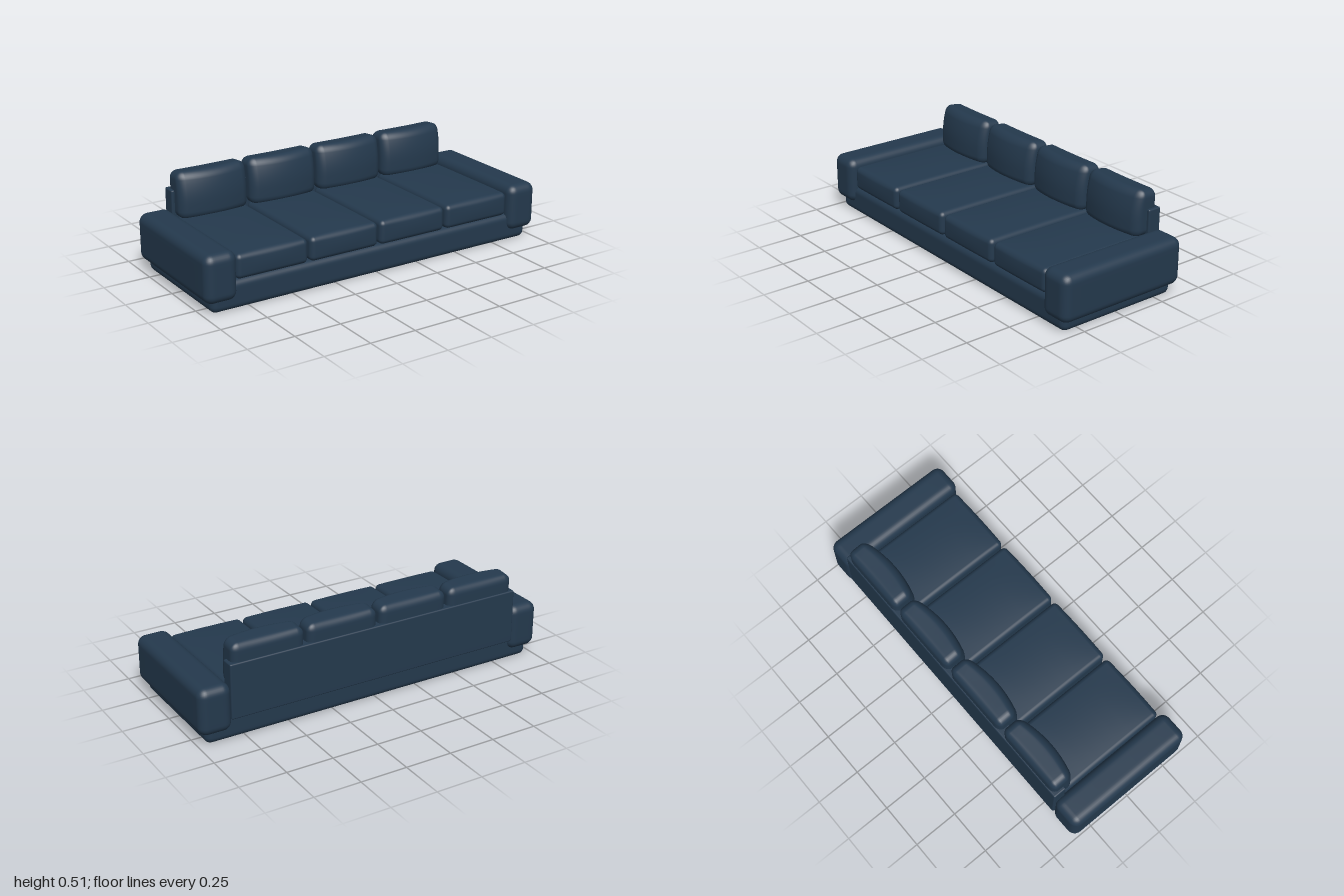
import * as THREE from 'three';
import { mergeVertices } from 'three/addons/utils/BufferGeometryUtils.js';

const fabric = new THREE.MeshStandardMaterial({ color: 0x24394d });
fabric.name = 'navy fabric';

const CORNER = 4, FLAT = 8, SEGS = CORNER * 2 + FLAT;

// Grid position along one axis: even angles round the corners, even steps between
function gridPos(i, half, r) {
  const core = half - r;
  if (i < CORNER) return -core - r * Math.tan((Math.PI / 4) * (1 - i / CORNER));
  if (i > SEGS - CORNER) return -gridPos(SEGS - i, half, r);
  return -core + (2 * core * (i - CORNER)) / FLAT;
}

// Rounded block with enough vertices to be puffed by an optional rule
function softBox(w, h, d, r, shape) {
  let geo = new THREE.BoxGeometry(1, 1, 1, SEGS, SEGS, SEGS);
  geo.deleteAttribute('uv');
  geo.deleteAttribute('normal');
  geo = mergeVertices(geo, 1e-4);
  const half = [w / 2, h / 2, d / 2];
  const pos = geo.attributes.position;
  const v = new THREE.Vector3(), core = new THREE.Vector3();
  for (let n = 0; n < pos.count; n++) {
    v.fromBufferAttribute(pos, n);
    half.forEach((s, a) => {
      const p = gridPos(Math.round((v.getComponent(a) + 0.5) * SEGS), s, r);
      v.setComponent(a, p);
      core.setComponent(a, THREE.MathUtils.clamp(p, r - s, s - r));
    });
    v.sub(core).setLength(r).add(core);
    if (shape) shape(v, v.x / half[0], v.y / half[1], v.z / half[2]);
    pos.setXYZ(n, v.x, v.y, v.z);
  }
  geo.computeVertexNormals();
  return geo;
}

export function createModel() {
  const sofa = new THREE.Group();
  sofa.name = 'sofa';
  const add = (name, geo, x, y, z) => {
    const mesh = new THREE.Mesh(geo, fabric);
    mesh.name = name;
    mesh.position.set(x, y, z);
    sofa.add(mesh);
  };

  // Plinth and back panel
  add('base', softBox(1.92, 0.152, 0.69, 0.035), 0, 0.076, 0);
  add('backPanel', softBox(1.67, 0.295, 0.075, 0.008), 0, 0.2675, -0.3355);

  // Armrests
  const arm = softBox(0.175, 0.252, 0.747, 0.046);
  add('leftArm', arm, 0.9125, 0.185, 0);
  add('rightArm', arm, -0.9125, 0.185, 0);

  // Seat cushion: crowned top, slightly bowed front
  const seat = softBox(0.4, 0.128, 0.645, 0.026, (v, x, y, z) => {
    const crown = (1 - x * x) * (1 - z ** 4);
    if (y > 0) v.y += 0.012 * y * crown;
    if (z > 0) v.z += 0.007 * z * (1 - x * x) * (1 - y * y);
  });

  // Back cushion: front bulges low and in the middle, top slopes to the rear
  const DEPTH = 0.164;
  const back = softBox(0.396, 0.25, DEPTH, 0.042, (v, x, y, z) => {
    const up = Math.max(0, y + 0.35) / 1.35;
    const depth = 1 - 0.2 * x * x - 0.2 * up * up;
    v.z = (v.z + DEPTH / 2) * depth - DEPTH / 2;
    if (y > 0) v.y -= y * 0.006 * (1 - z);
  });

  for (let i = 0; i < 4; i++) {
    const x = (i - 1.5) * 0.414;
    add('seatCushion' + (i + 1), seat, x, 0.213, 0.024);
    add('backCushion' + (i + 1), back, x, 0.393, -0.285);
  }
  return sofa;
}
